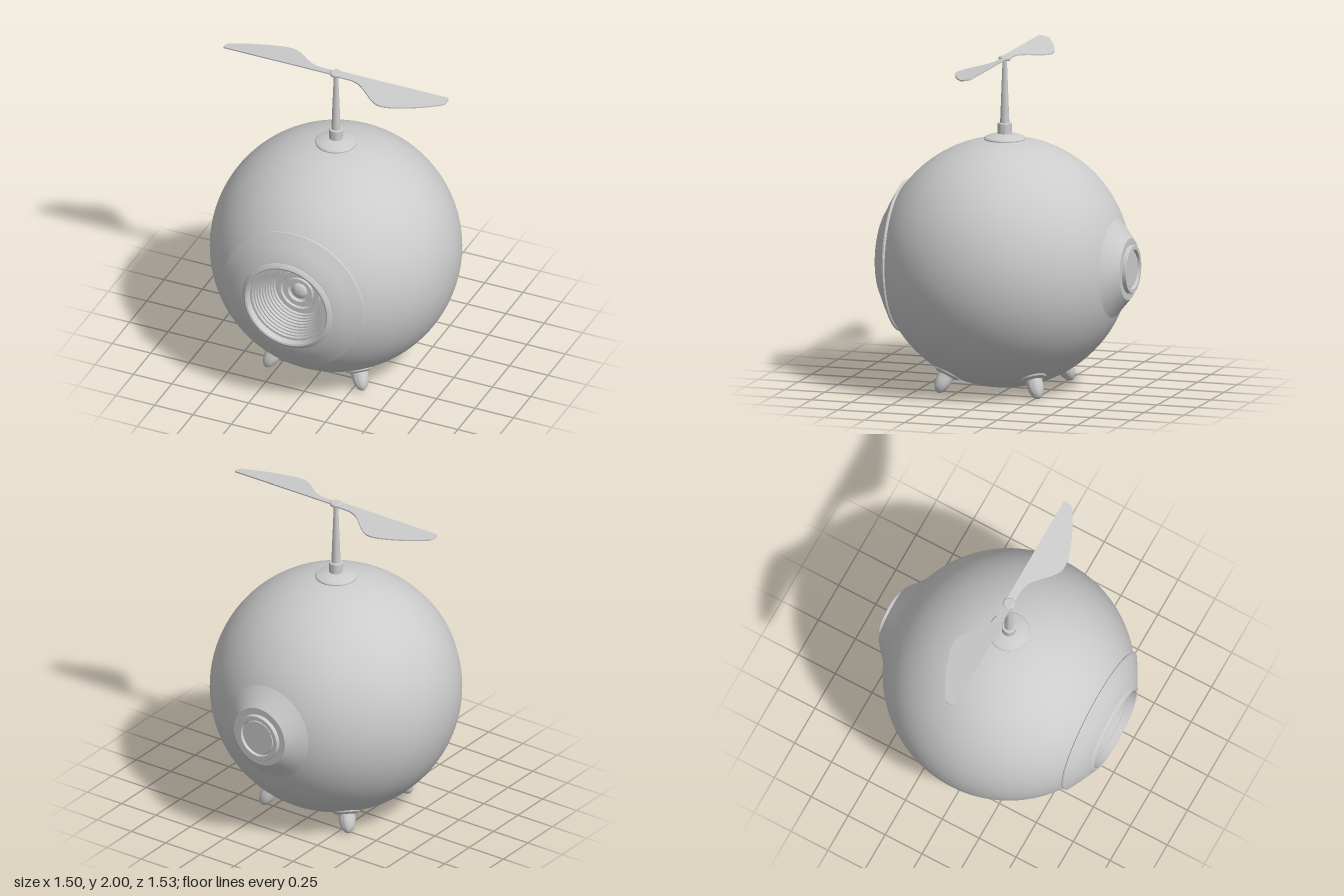
import * as THREE from 'three';
import { toCreasedNormals } from 'three/addons/utils/BufferGeometryUtils.js';

const R = 0.75;
const CENTRE = new THREE.Vector3(0, 0.76, 0.04);
const material = new THREE.MeshStandardMaterial({ color: 0xcccccc, side: THREE.DoubleSide });

function add(parent, name, geometry) {
  const mesh = new THREE.Mesh(geometry, material);
  mesh.name = name;
  parent.add(mesh);
  return mesh;
}

// Turned part from [radius, height] pairs, listed upwards along the outside
function turned(points, segments = 64, crease = 0.5) {
  const lathe = new THREE.LatheGeometry(points.map(([r, h]) => new THREE.Vector2(r, h)), segments);
  return toCreasedNormals(lathe, crease);
}

// Propeller blade: flat outline, pitched down towards its trailing edge
function bladeGeometry() {
  const shape = new THREE.Shape();
  shape.moveTo(0, -0.025);
  shape.lineTo(0.715, -0.025);
  shape.quadraticCurveTo(0.725, -0.025, 0.725, -0.015);
  shape.lineTo(0.725, 0.015);
  shape.quadraticCurveTo(0.725, 0.035, 0.69, 0.052);
  shape.bezierCurveTo(0.6, 0.105, 0.53, 0.135, 0.45, 0.16);
  shape.bezierCurveTo(0.38, 0.182, 0.34, 0.182, 0.29, 0.142);
  shape.bezierCurveTo(0.22, 0.09, 0.18, 0.025, 0.09, 0.025);
  shape.lineTo(0, 0.025);
  const geometry = new THREE.ExtrudeGeometry(shape, { depth: 0.008, bevelEnabled: false, curveSegments: 12 });
  geometry.rotateX(Math.PI / 2); // outline y becomes z, thickness hangs below
  const p = geometry.attributes.position;
  for (let i = 0; i < p.count; i++) p.setY(i, p.getY(i) - 0.16 * (p.getZ(i) + 0.025));
  return toCreasedNormals(geometry, 0.5);
}

export function createModel() {
  const model = new THREE.Group();
  model.name = 'hoveringCameraBall';

  // Spherical shell, open at the front for the lens well
  const shell = [];
  const cut = Math.asin(0.605 / R);
  for (let i = 0; i <= 64; i++) {
    const a = -Math.PI / 2 + (cut + Math.PI / 2) * (i / 64);
    shell.push([Math.max(0, R * Math.cos(a)), R * Math.sin(a)]);
  }
  const body = add(model, 'body', turned(shell, 96));
  body.rotation.x = Math.PI / 2;
  body.position.copy(CENTRE);

  // Front housing, then a stepped well narrowing inwards
  const front = [
    [0.435, 0.603], [0.452, 0.605], [0.458, 0.61], [0.456, 0.618], [0.38, 0.664],
    [0.305, 0.705], [0.295, 0.707], [0.285, 0.717], [0.268, 0.725], [0.258, 0.722], [0.255, 0.68],
  ];
  const steps = 9;
  for (let i = 0; i < steps; i++) {
    const r = 0.24 - 0.01 * i;
    const h = 0.68 - 0.017 * i;
    front.push([r, h], [r - 0.002, h - 0.017]);
  }
  front.push([0.148, 0.527]);
  const housing = add(model, 'frontHousing', turned(front, 72, 0.35));
  housing.rotation.x = Math.PI / 2;
  housing.position.copy(CENTRE);

  // Lens rings and the small central dome
  const lensProfile = [
    [0.15, 0.525], [0.138, 0.525], [0.136, 0.545], [0.115, 0.545], [0.11, 0.53],
    [0.092, 0.53], [0.09, 0.545], [0.068, 0.545], [0.064, 0.525], [0.05, 0.525],
  ];
  for (let i = 1; i <= 6; i++) {
    const a = (i / 6) * Math.PI / 2;
    lensProfile.push([Math.max(0, 0.05 * Math.cos(a)), 0.525 + 0.025 * Math.sin(a)]);
  }
  const lens = add(model, 'lens', turned(lensProfile));
  lens.rotation.x = Math.PI / 2;
  lens.position.copy(CENTRE);

  // Rear cone with a recessed round cap
  const rear = add(model, 'rearPort', turned([
    [0.345, 0.655], [0.315, 0.672], [0.19, 0.778], [0.185, 0.782], [0.145, 0.782],
    [0.145, 0.805], [0.142, 0.808], [0.118, 0.808], [0.114, 0.79],
    [0.108, 0.79], [0.104, 0.798], [0, 0.798],
  ], 64, 0.3));
  rear.rotation.x = -Math.PI / 2;
  rear.position.copy(CENTRE);

  // Four bullet-shaped feet standing out along the shell's normal
  const footProfile = [[0.078, -0.015], [0.08, 0.001], [0.076, 0.007], [0.052, 0.016], [0.05, 0.03]];
  for (let i = 1; i <= 10; i++) {
    const a = (i / 10) * Math.PI / 2;
    footProfile.push([Math.max(0, 0.05 * Math.cos(a)), 0.03 + 0.1 * Math.sin(a)]);
  }
  const footGeometry = turned(footProfile, 32);
  for (const sx of [-1, 1]) {
    for (const sz of [-1, 1]) {
      const normal = new THREE.Vector3(0.27 * sx, -0.645, 0.27 * sz).normalize();
      const foot = add(model, (sz > 0 ? 'front' : 'rear') + (sx > 0 ? 'Left' : 'Right') + 'Foot', footGeometry);
      foot.quaternion.setFromUnitVectors(new THREE.Vector3(0, 1, 0), normal);
      foot.position.copy(CENTRE).addScaledVector(normal, R - 0.002);
    }
  }

  // Mast with its base plate and collar
  const rotor = new THREE.Group();
  rotor.name = 'rotor';
  rotor.position.z = CENTRE.z;
  model.add(rotor);
  add(rotor, 'mastBase', turned([
    [0.122, 1.49], [0.124, 1.506], [0.118, 1.513], [0.08, 1.527], [0.042, 1.535], [0, 1.535],
  ], 48));
  add(rotor, 'mastCollar', turned([[0.042, 1.53], [0.042, 1.596], [0.038, 1.6], [0, 1.6]], 32));
  add(rotor, 'mast', turned([[0.028, 1.59], [0.013, 1.98]], 32));

  // Hub and two opposite blades
  add(rotor, 'hub', turned([
    [0, 1.976], [0.03, 1.976], [0.036, 1.982], [0.036, 1.994], [0.03, 2], [0, 2],
  ], 32));
  const blade = bladeGeometry();
  for (let i = 0; i < 2; i++) {
    const mesh = add(rotor, 'propellerBlade', blade);
    mesh.position.y = 1.996;
    mesh.rotation.y = i * Math.PI;
  }
  return model;
}
